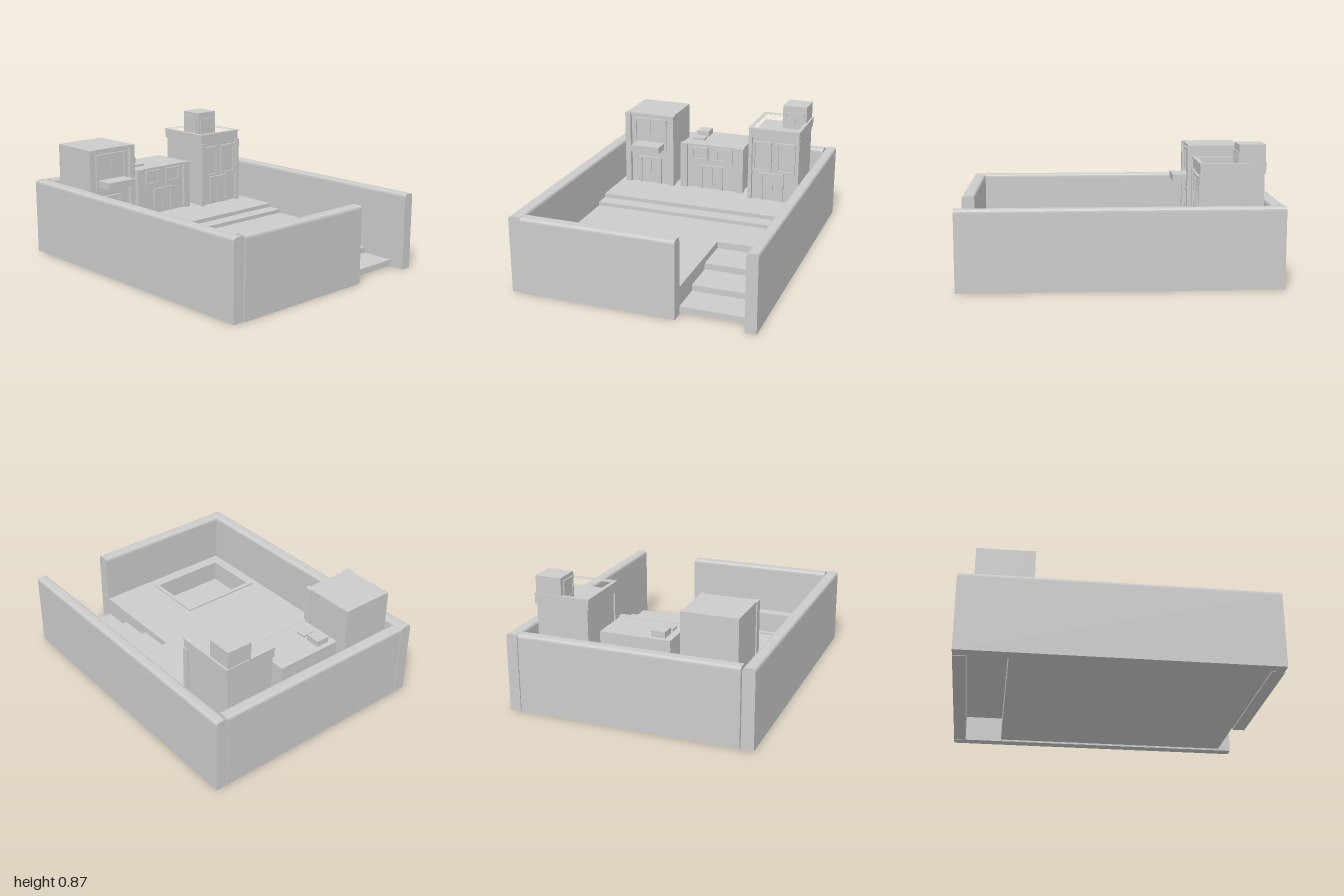
import * as THREE from 'three';

const material = new THREE.MeshStandardMaterial({ color: 0xcccccc, flatShading: true });

function add(parent, name, geometry) {
  const mesh = new THREE.Mesh(geometry, material);
  mesh.name = name;
  parent.add(mesh);
  return mesh;
}

// Box given by its limits on each axis
function box(parent, name, x0, x1, y0, y1, z0, z1) {
  const mesh = add(parent, name, new THREE.BoxGeometry(x1 - x0, y1 - y0, z1 - z0));
  mesh.position.set((x0 + x1) / 2, (y0 + y1) / 2, (z0 + z1) / 2);
  return mesh;
}

function group(parent, name) {
  const g = new THREE.Group();
  g.name = name;
  parent.add(g);
  return g;
}

// Wall with a rounded coping, running along local z
function wall(parent, name, length, width, cx, cz, alongX) {
  const h = 0.51, r = 0.022, w = width / 2;
  const s = new THREE.Shape();
  s.moveTo(-w, 0);
  s.lineTo(w, 0);
  s.lineTo(w, h - r);
  s.quadraticCurveTo(w, h, w - r, h);
  s.lineTo(-w + r, h);
  s.quadraticCurveTo(-w, h, -w, h - r);
  const geo = new THREE.ExtrudeGeometry(s, { depth: length, bevelEnabled: false, curveSegments: 4 });
  geo.translate(0, 0, -length / 2);
  const mesh = add(parent, name, geo);
  mesh.position.set(cx, 0, cz);
  if (alongX) mesh.rotation.y = Math.PI / 2;
}

// Framed window or door on a facade facing +x
function opening(parent, name, x, y0, y1, z0, z1, { sill = true, split = false, t = 0.017, d = 0.016 } = {}) {
  const g = group(parent, name);
  const bottom = sill ? y0 + t : y0;
  box(g, 'pane', x - 0.01, x + 0.004, bottom, y1 - t, z0 + t, z1 - t);
  box(g, 'frameSide', x - 0.01, x + d, y0, y1, z0, z0 + t);
  box(g, 'frameSide', x - 0.01, x + d, y0, y1, z1 - t, z1);
  box(g, 'frameTop', x - 0.01, x + d, y1 - t, y1, z0 + t, z1 - t);
  if (sill) box(g, 'frameSill', x - 0.01, x + d, y0, bottom, z0 + t, z1 - t);
  const zm = (z0 + z1) / 2;
  if (split) box(g, 'mullion', x - 0.01, x + 0.009, bottom, y1 - t, zm - 0.004, zm + 0.004);
  return g;
}

function rect(Type, x0, x1, z0, z1) {
  return new Type([[x0, z0], [x1, z0], [x1, z1], [x0, z1]].map(([x, z]) => new THREE.Vector2(x, -z)));
}

// Flat slab with optional holes, drawn in x and z
function slab(parent, name, shape, y0, y1) {
  const geo = new THREE.ExtrudeGeometry(shape, { depth: y1 - y0, bevelEnabled: false });
  geo.rotateX(-Math.PI / 2);
  add(parent, name, geo).position.y = y0;
}

function buildGround(root) {
  const g = group(root, 'ground');
  // Yard with a notch for the stepped drive and a hole for the pool
  const yard = new THREE.Shape([[-0.67, 0.71], [0.915, 0.71], [0.915, -0.29], [0.2, -0.29], [0.2, -0.72], [-0.67, -0.72]]
    .map(([x, z]) => new THREE.Vector2(x, -z)));
  yard.holes.push(rect(THREE.Path, 0.445, 0.835, 0.1, 0.64));
  slab(g, 'yard', yard, 0.01, 0.177);
  box(g, 'lowerTerrace', -0.92, -0.12, 0.17, 0.203, -0.72, 0.71);
  box(g, 'upperTerrace', -0.92, -0.22, 0.2, 0.23, -0.72, 0.71);
  [[0.2, 0.45, 0.132], [0.45, 0.69, 0.09], [0.69, 0.91, 0.05]].forEach(([x0, x1, y]) =>
    box(g, 'driveStep', x0, x1, 0.01, y, -0.72, -0.29));
  // Pool
  box(g, 'poolFloor', 0.445, 0.835, 0.01, 0.03, 0.1, 0.64);
  const rim = rect(THREE.Shape, 0.415, 0.86, 0.075, 0.665);
  rim.holes.push(rect(THREE.Path, 0.445, 0.835, 0.1, 0.64));
  slab(g, 'poolRim', rim, 0.17, 0.187);
}

function buildTower(root) {
  const g = group(root, 'towerHouse');
  const f = -0.51;
  box(g, 'body', -0.89, f, 0.23, 0.705, -0.635, -0.295);
  [[-0.65, -0.625], [-0.31, -0.285]].forEach(([a, b]) => box(g, 'pilaster', f - 0.015, -0.485, 0.23, 0.69, a, b));
  // Roof parapet
  const parapet = rect(THREE.Shape, -0.897, -0.492, -0.645, -0.285);
  parapet.holes.push(rect(THREE.Path, -0.878, -0.511, -0.626, -0.304));
  slab(g, 'parapet', parapet, 0.69, 0.748);
  const cap = rect(THREE.Shape, -0.9, -0.487, -0.649, -0.281);
  cap.holes.push(rect(THREE.Path, -0.875, -0.514, -0.623, -0.307));
  slab(g, 'parapetCap', cap, 0.748, 0.757);
  // Windows and door
  opening(g, 'upperWindow', f, 0.44, 0.66, -0.62, -0.483);
  opening(g, 'upperWindow', f, 0.44, 0.66, -0.45, -0.313);
  opening(g, 'door', f, 0.23, 0.435, -0.54, -0.375, { sill: false, split: true });
  // Roof room
  const r = group(g, 'roofRoom');
  box(r, 'room', -0.895, -0.73, 0.7, 0.87, -0.635, -0.465);
  opening(r, 'roofWindow', -0.73, 0.705, 0.825, -0.55, -0.483, { t: 0.008, d: 0.008 });
  opening(r, 'roofDoor', -0.73, 0.705, 0.825, -0.617, -0.55, { t: 0.008, d: 0.008, sill: false });
  const side = opening(r, 'sideWindow', 0, 0.725, 0.845, -0.06, 0.06, { t: 0.01, d: 0.008 });
  side.rotation.y = -Math.PI / 2;
  side.position.set(-0.807, 0, -0.465);
}

function buildMiddleHouse(root) {
  const g = group(root, 'middleHouse');
  const f = -0.58;
  box(g, 'body', -0.89, f, 0.23, 0.563, -0.215, 0.24);
  [[-0.225, -0.172], [0.2, 0.25]].forEach(([a, b]) => box(g, 'pilaster', f - 0.02, -0.557, 0.23, 0.565, a, b));
  box(g, 'cornice', f - 0.02, -0.565, 0.548, 0.565, -0.172, 0.2);
  opening(g, 'upperWindow', f, 0.44, 0.543, -0.14, -0.015);
  opening(g, 'upperWindow', f, 0.44, 0.543, 0.045, 0.17);
  opening(g, 'door', f, 0.23, 0.41, -0.07, 0.1, { sill: false, split: true });
  // Roof vents
  box(g, 'roofVent', -0.86, -0.765, 0.56, 0.602, 0.105, 0.195);
  box(g, 'roofVent', -0.735, -0.67, 0.56, 0.578, 0.105, 0.195);
}

function buildBalconyHouse(root) {
  const g = group(root, 'balconyHouse');
  const f = -0.56;
  box(g, 'body', -0.9, f, 0.23, 0.76, 0.305, 0.665);
  [[0.297, 0.335], [0.632, 0.672]].forEach(([a, b]) => box(g, 'pilaster', f - 0.02, -0.53, 0.23, 0.76, a, b));
  box(g, 'lintel', f - 0.02, -0.54, 0.74, 0.76, 0.335, 0.632);
  opening(g, 'balconyWindow', f, 0.49, 0.722, 0.36, 0.61, { split: true });
  opening(g, 'door', f, 0.23, 0.43, 0.4, 0.57, { sill: false, split: true });
  box(g, 'balcony', f, -0.437, 0.5, 0.546, 0.375, 0.59);
}

export function createModel() {
  const root = new THREE.Group();
  root.name = 'walledCourtyard';
  // Enclosing walls, open at the drive
  wall(root, 'frontWall', 1.99, 0.08, -0.005, 0.76, true);
  wall(root, 'backWall', 2, 0.073, 0, -0.764, true);
  wall(root, 'rightWall', 1.435, 0.08, -0.96, -0.005, false);
  wall(root, 'leftWall', 1.01, 0.082, 0.956, 0.213, false);
  buildGround(root);
  buildTower(root);
  buildMiddleHouse(root);
  buildBalconyHouse(root);
  return root;
}
